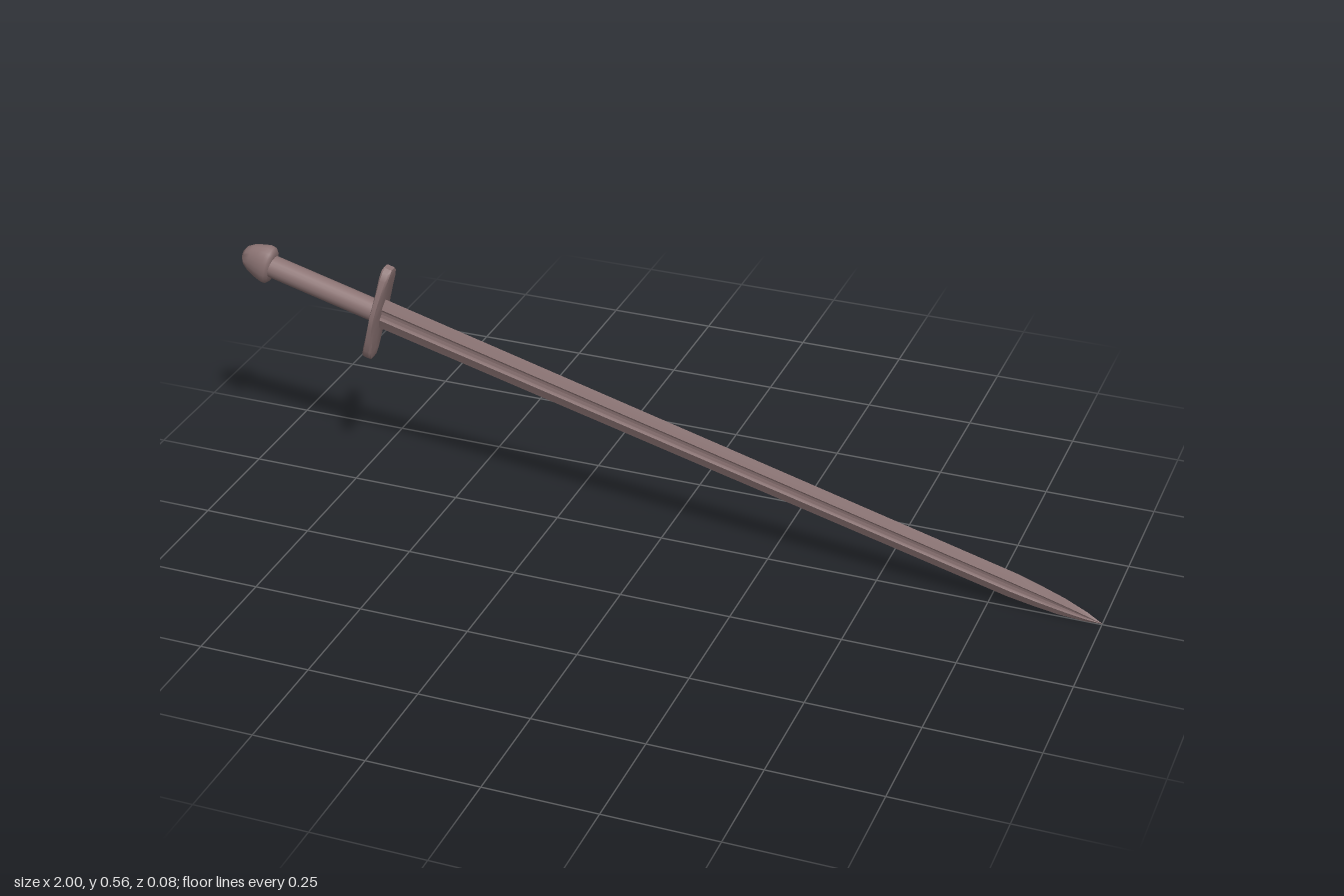
import * as THREE from 'three';
import { toCreasedNormals } from 'three/addons/utils/BufferGeometryUtils.js';

const material = new THREE.MeshStandardMaterial({ color: 0x8c7474 });

// Skin a row of stations [x, halfY, halfZ] that share one unit outline of [y, z] points.
function loft(stations, outline, crease) {
  const n = outline.length, last = stations.length - 1;
  const positions = [], index = [];
  for (const [x, hy, hz] of stations)
    for (const [y, z] of outline) positions.push(x, y * hy, z * hz);
  for (let i = 0; i < last; i++) {
    for (let j = 0; j < n; j++) {
      const a = i * n + j, b = i * n + (j + 1) % n;
      index.push(a, b, b + n, a, b + n, a + n);
    }
  }
  // end caps fan out from a centre point
  for (const i of [0, last]) {
    const centre = positions.length / 3;
    positions.push(stations[i][0], 0, 0);
    for (let j = 0; j < n; j++) {
      const a = i * n + j, b = i * n + (j + 1) % n;
      if (i === 0) index.push(centre, b, a);
      else index.push(centre, a, b);
    }
  }
  const geometry = new THREE.BufferGeometry();
  geometry.setAttribute('position', new THREE.Float32BufferAttribute(positions, 3));
  geometry.setIndex(index);
  return toCreasedNormals(geometry, crease);
}

function addPart(parent, name, geometry) {
  const mesh = new THREE.Mesh(geometry, material);
  mesh.name = name;
  parent.add(mesh);
  return mesh;
}

export function createModel() {
  const model = new THREE.Group();
  model.name = 'sword';

  // Everything is laid along x from the guard, then the whole sword is tilted.
  const sword = new THREE.Group();
  sword.name = 'tiltedSword';
  sword.position.set(-0.67, 0.442, 0);
  sword.rotation.z = -0.258;
  model.add(sword);

  // Blade: sharp edges, two ridges and a shallow fuller on each face
  const face = [[1, 0], [0.36, 1], [0.2, 0.62], [0, 0.45], [-0.2, 0.62], [-0.36, 1]];
  const bladeOutline = [...face, ...face.map(([y, z]) => [-y, -z])];
  const bladeStations = [
    [0, 0.038, 0.0095], [1.52, 0.032, 0.0095], [1.58, 0.028, 0.008],
    [1.635, 0.0225, 0.006], [1.69, 0.012, 0.0035], [1.727, 0.0005, 0.0003],
  ];
  addPart(sword, 'blade', loft(bladeStations, bladeOutline, 0.6));

  // Guard: a long rounded plate, widest in the middle and thicker at its ends
  const guardOutline = [
    [1, 0], [1, 0.8], [0.6, 1], [-0.6, 1], [-1, 0.8],
    [-1, 0], [-1, -0.8], [-0.6, -1], [0.6, -1], [1, -0.8],
  ];
  const guardHalf = [
    [0, 0.008, 0.042], [0.03, 0.008, 0.038], [0.065, 0.009, 0.032],
    [0.095, 0.0105, 0.026], [0.113, 0.011, 0.018], [0.12, 0.0095, 0.009],
  ];
  const guardStations = [
    ...guardHalf.slice(1).reverse().map(([x, t, w]) => [-x, t, w]),
    ...guardHalf,
  ];
  addPart(sword, 'guard', loft(guardStations, guardOutline, 0.65)).rotation.z = Math.PI / 2;

  // Grip: a plain round handle
  const grip = addPart(sword, 'grip', new THREE.CylinderGeometry(0.0255, 0.0255, 0.285, 20));
  grip.rotation.z = Math.PI / 2;
  grip.position.x = -0.1425;

  // Pommel: a mushroom cap, flattened from front to back
  const profile = [
    [0, -0.343], [0.012, -0.341], [0.024, -0.334], [0.034, -0.32], [0.042, -0.3],
    [0.047, -0.283], [0.046, -0.274], [0.039, -0.268], [0.026, -0.266], [0, -0.266],
  ].map(([r, s]) => new THREE.Vector2(r, s));
  const pommel = addPart(sword, 'pommel', toCreasedNormals(new THREE.LatheGeometry(profile, 20), 0.8));
  pommel.rotation.z = -Math.PI / 2;
  pommel.scale.z = 0.69;

  return model;
}
